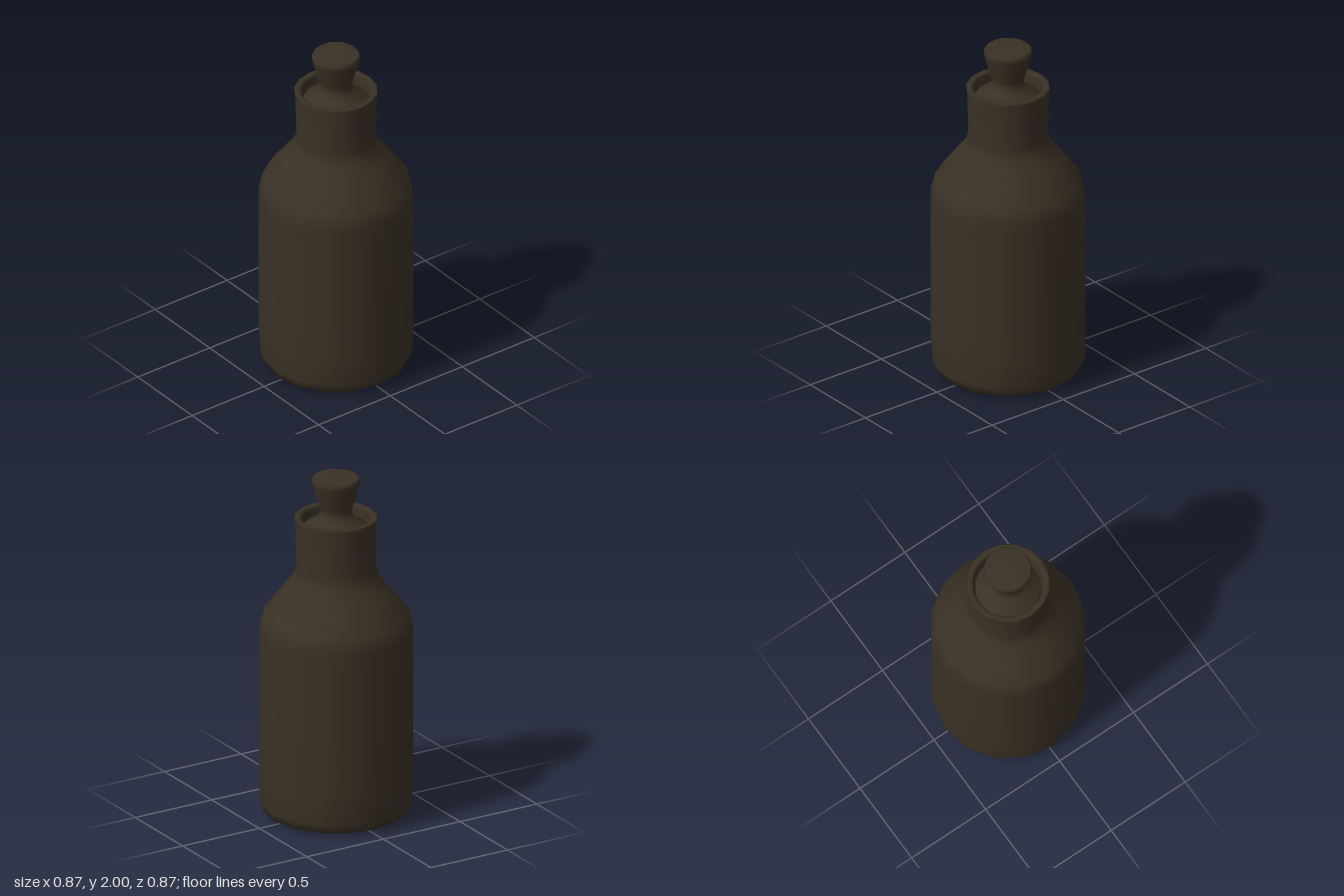
import * as THREE from 'three';

const SIDES = 16;

// Turns [radius, height] pairs, listed from the bottom outward and up, into a solid
function turned(name, profile, material) {
  const points = profile.map(([r, y]) => new THREE.Vector2(r, y));
  const mesh = new THREE.Mesh(new THREE.LatheGeometry(points, SIDES), material);
  mesh.name = name;
  return mesh;
}

export function createModel() {
  const group = new THREE.Group();
  group.name = 'stopperedBottle';

  const darkGlass = new THREE.MeshStandardMaterial({ color: 0x3a3125 });
  darkGlass.name = 'darkBrownGlass';

  // Bottle: base, straight wall, shoulder, flared neck, lip and inner neck wall
  group.add(turned('bottle', [
    [0, 0.005], [0.335, 0.005], [0.405, 0.03], [0.428, 0.085], [0.433, 0.25],
    [0.434, 1.09], [0.407, 1.19], [0.29, 1.34], [0.237, 1.41], [0.222, 1.47],
    [0.229, 1.74], [0.235, 1.757], [0.228, 1.764], [0.202, 1.762],
    [0.195, 1.75], [0.19, 1.6], [0.18, 1.45],
  ], darkGlass));

  // Stopper: plug inside the neck, sloping collar, narrow waist and wide grip
  group.add(turned('stopper', [
    [0, 1.5], [0.165, 1.5], [0.185, 1.69], [0.18, 1.708], [0.105, 1.755],
    [0.086, 1.795], [0.092, 1.82], [0.135, 1.965], [0.134, 1.985],
    [0.124, 1.998], [0, 2],
  ], darkGlass));

  return group;
}
